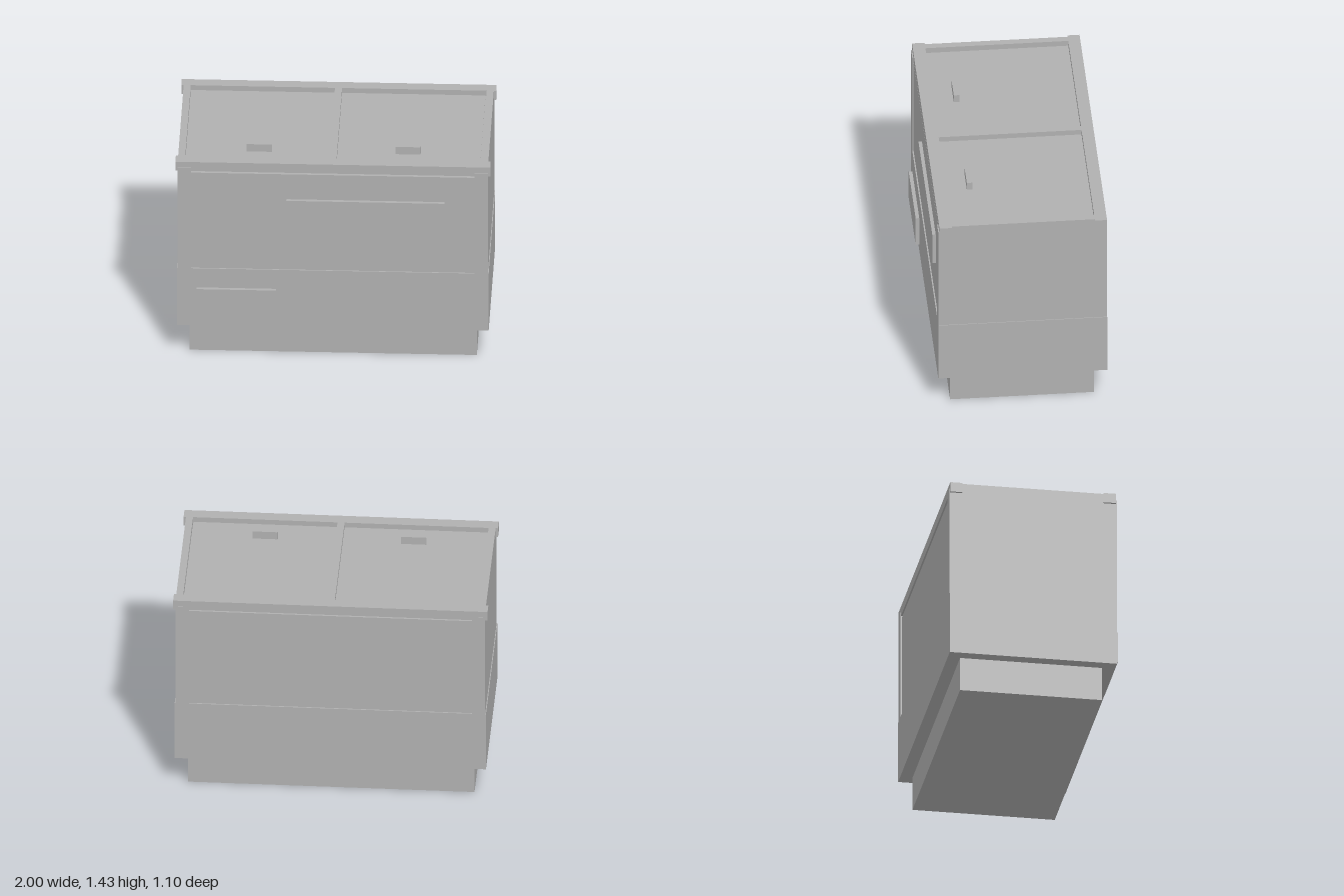
import * as THREE from 'three';

export function createModel() {
  const model = new THREE.Group();
  model.name = 'chestCooler';
  const grey = new THREE.MeshStandardMaterial({ color: 0xb0b0b0 });
  grey.name = 'plain grey';

  // Box given by its extents on each axis
  const block = (name, [x0, x1], [y0, y1], [z0, z1]) => {
    const mesh = new THREE.Mesh(new THREE.BoxGeometry(x1 - x0, y1 - y0, z1 - z0), grey);
    mesh.position.set((x0 + x1) / 2, (y0 + y1) / 2, (z0 + z1) / 2);
    mesh.name = name;
    model.add(mesh);
  };
  // Same block on both sides, mirrored in x
  const pair = (name, [x0, x1], y, z) => {
    block(name + 'Left', [x0, x1], y, z);
    block(name + 'Right', [-x1, -x0], y, z);
  };

  const depth = [-0.549, 0.527];

  // Plinth and cabinet, with recessed front and back panels
  block('plinth', [-0.912, 0.912], [0, 0.225], [-0.47, 0.445]);
  block('lowerCabinet', [-0.99, 0.99], [0.225, 0.64], depth);
  block('upperCabinetPanels', [-0.9, 0.9], [0.64, 1.333], [-0.541, 0.519]);
  pair('sideWall', [0.9, 0.985], [0.64, 1.37], depth);

  // Rim around the lids, with a slot left open beneath it
  block('frontRim', [-1, 1], [1.345, 1.41], [0.44, 0.52]);
  block('backRim', [-1, 1], [1.345, 1.41], [-0.547, -0.47]);
  pair('sideRim', [0.94, 0.985], [1.345, 1.41], [-0.47, 0.44]);
  block('centreBar', [-0.024, 0.021], [1.345, 1.41], [-0.47, 0.44]);

  // Sunken lids and their handles
  block('lidLeft', [0.021, 0.932], [1.345, 1.375], [-0.47, 0.44]);
  block('lidRight', [-0.937, -0.024], [1.345, 1.375], [-0.47, 0.44]);
  block('handleLeft', [0.39, 0.55], [1.375, 1.428], [0.27, 0.307]);
  block('handleRight', [-0.555, -0.395], [1.375, 1.428], [0.27, 0.307]);

  // Front plates
  block('upperFrontPlate', [-0.295, 0.71], [0.93, 1.152], [0.519, 0.541]);
  block('lowerFrontPlate', [-0.865, -0.36], [0.295, 0.503], [0.53, 0.553]);

  return model;
}
